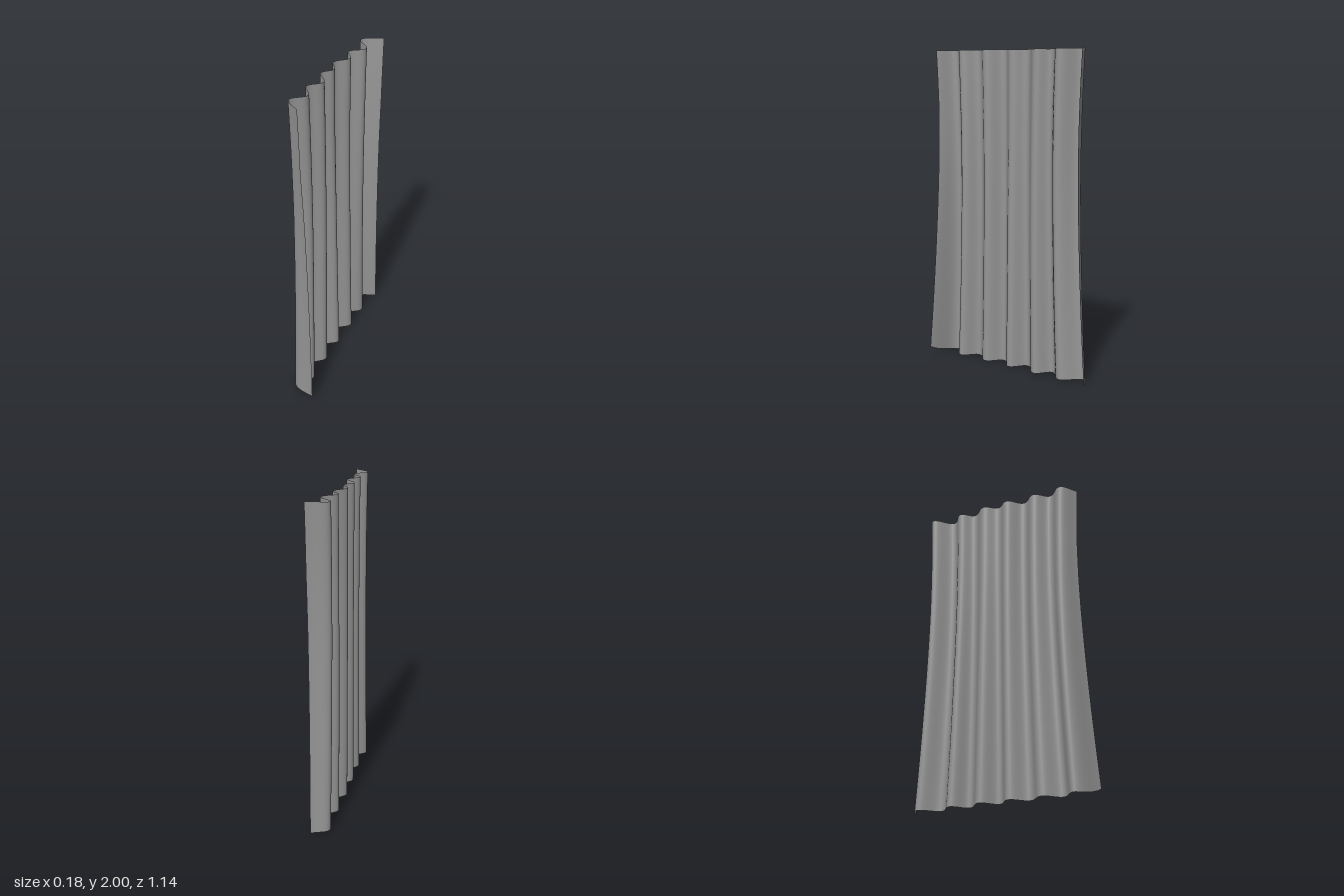
import * as THREE from 'three';

// Fold line of the cloth from back to front: [z at the waist, x at the top hem, x at the bottom hem]
const FOLDS = [
  [-0.516, 0.03, 0.012], [-0.452, -0.093, -0.094], [-0.345, -0.004, -0.01], [-0.258, -0.078, -0.088],
  [-0.175, -0.024, -0.008], [-0.085, -0.085, -0.09], [0, -0.035, -0.01], [0.081, -0.08, -0.084],
  [0.17, -0.008, -0.008], [0.26, -0.068, -0.076], [0.35, -0.004, 0], [0.44, -0.07, -0.08], [0.52, 0.026, 0.09],
];

// Rounded folds along the top (column 1) or bottom (column 2) hem
function foldCurve(column) {
  return new THREE.CatmullRomCurve3(FOLDS.map((f) => new THREE.Vector3(f[column], 0, f[0])), false, 'catmullrom', 0.6);
}

// Width along the height: widest at the bottom, narrowest above the middle
function widthAt(y) {
  return y < 1.3
    ? 0.998 + 0.105 * Math.pow((1.3 - y) / 1.3, 1.6)
    : 0.998 + 0.037 * Math.pow((y - 1.3) / 0.7, 2);
}

function curtainGeometry() {
  const across = 144, down = 40;
  const top = foldCurve(1), bottom = foldCurve(2);
  const geometry = new THREE.PlaneGeometry(1, 1, across, down);
  const position = geometry.attributes.position;
  const p = new THREE.Vector3();
  for (let j = 0; j <= down; j++) {
    const v = 1 - j / down;
    const drop = THREE.MathUtils.clamp((1.6 - 2 * v) / 1.6, 0, 1);
    const width = widthAt(2 * v);
    for (let i = 0; i <= across; i++) {
      const u = i / across;
      p.lerpVectors(top.getPoint(u), bottom.getPoint(u), drop);
      // The hem lifts at the front corner, the top rises slightly at the back
      const lift = 0.045 * Math.pow(THREE.MathUtils.clamp((p.z - 0.44) / 0.08, 0, 1), 2.5);
      const crown = 1.993 + 0.007 * THREE.MathUtils.clamp((-p.z - 0.45) / 0.066, 0, 1);
      position.setXYZ(j * (across + 1) + i, p.x, lift + v * (crown - lift), p.z * width);
    }
  }
  geometry.computeVertexNormals();
  return geometry;
}

export function createModel() {
  const group = new THREE.Group();
  group.name = 'curtain';
  const cloth = new THREE.Mesh(
    curtainGeometry(),
    new THREE.MeshStandardMaterial({ color: 0x979797, side: THREE.DoubleSide }),
  );
  cloth.name = 'pleatedCloth';
  group.add(cloth);
  return group;
}
